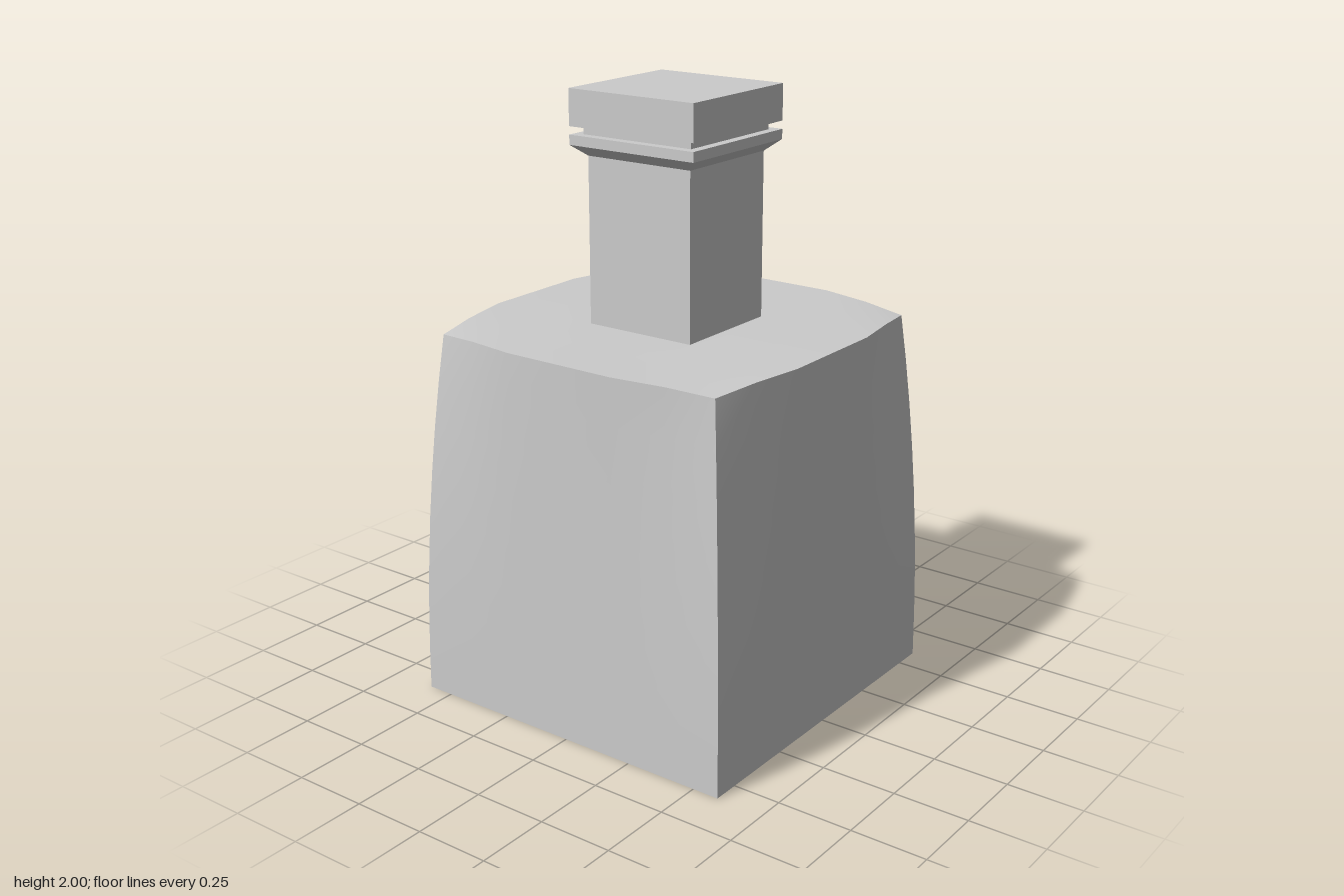
import * as THREE from 'three';

const HALF = 0.59, BODY_H = 1.25;

// Square-section part from a profile of [half width, height], bottom to top
function squareLathe(name, profile, material) {
  const pts = profile.map(([w, y]) => new THREE.Vector2(w * Math.SQRT2, y));
  const mesh = new THREE.Mesh(new THREE.LatheGeometry(pts, 4, Math.PI / 4), material);
  mesh.name = name;
  return mesh;
}

// Box whose four vertical corners draw inward and dip slightly towards the top
function bodyGeometry() {
  const geo = new THREE.BoxGeometry(HALF * 2, BODY_H, HALF * 2, 6, 8, 6);
  geo.translate(0, BODY_H / 2, 0);
  const pos = geo.attributes.position;
  const ramp = (c) => Math.max(0, (Math.abs(c) / HALF - 1 / 3) * 1.5);
  for (let i = 0; i < pos.count; i++) {
    const x = pos.getX(i), y = pos.getY(i), z = pos.getZ(i);
    const corner = ramp(x) * ramp(z);
    const t = y / BODY_H;
    const s = 1 - 0.11 * corner * t * t;
    pos.setXYZ(i, x * s, y - 0.016 * corner * corner * t * t, z * s);
  }
  geo.computeVertexNormals();
  return geo;
}

export function createModel() {
  const group = new THREE.Group();
  group.name = 'squareBottle';
  const smooth = new THREE.MeshStandardMaterial({ color: 0xcccccc });
  const flat = new THREE.MeshStandardMaterial({ color: 0xcccccc, flatShading: true });

  const body = new THREE.Mesh(bodyGeometry(), smooth);
  body.name = 'body';
  group.add(body);

  // Neck flaring into a square collar
  group.add(squareLathe('neck', [
    [0.195, BODY_H], [0.195, 1.79], [0.236, 1.825], [0.236, 1.857], [0, 1.857],
  ], flat));

  // Stopper: recessed stem below a square cap
  group.add(squareLathe('stopper', [
    [0.205, 1.857], [0.205, 1.883], [0.236, 1.883], [0.236, 2], [0, 2],
  ], flat));

  return group;
}
